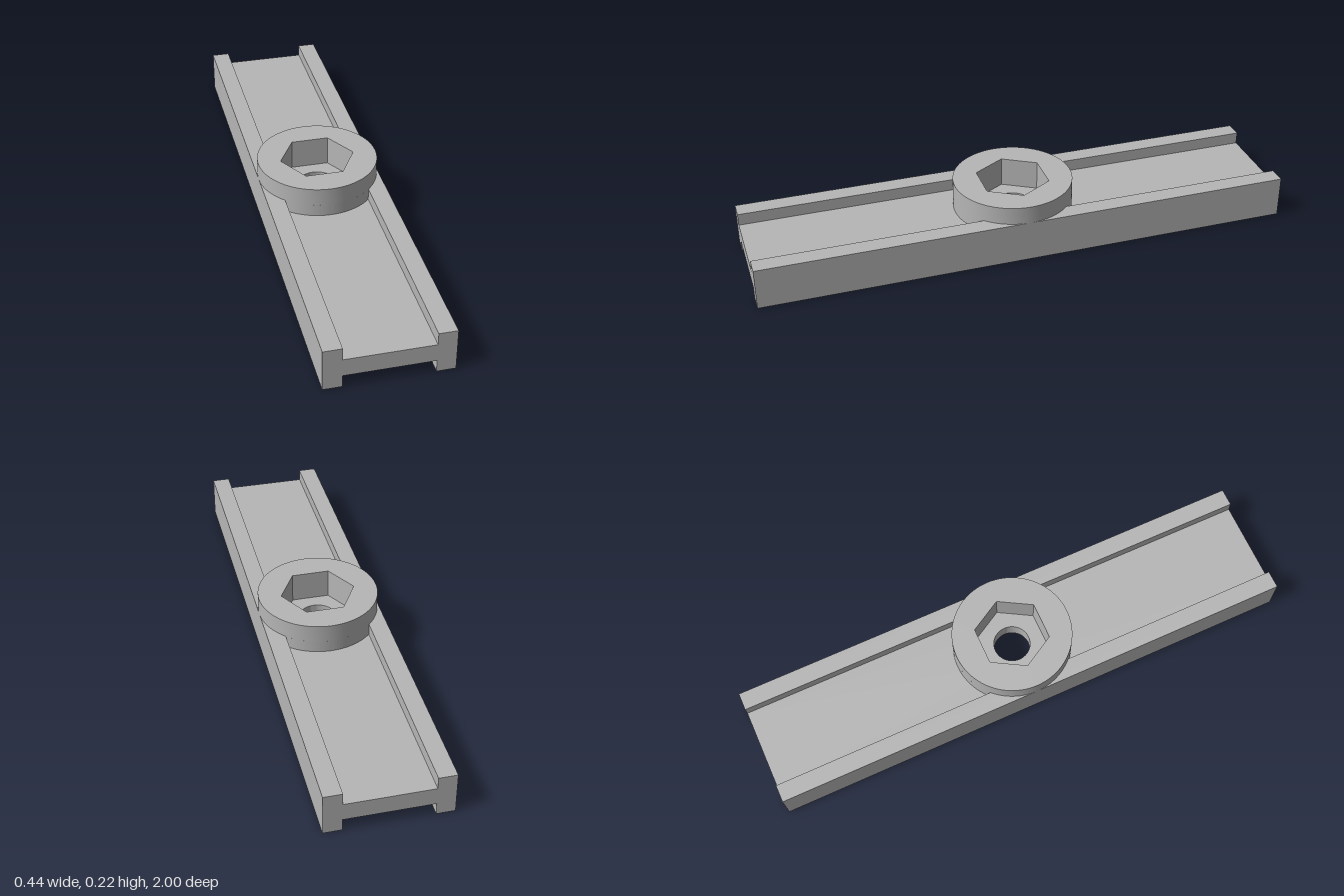
import * as THREE from 'three';
import { toCreasedNormals } from 'three/addons/utils/BufferGeometryUtils.js';

const HALF_WIDTH = 0.222;   // also the boss radius
const WEB_HALF = 0.156;     // inner face of the side rails
const WEB_BOTTOM = 0.045, WEB_TOP = 0.111, RAIL_TOP = 0.156, BOSS_TOP = 0.223;
const BORE = 0.068, RECESS = 0.145, HEX = 0.138;

const grey = new THREE.MeshStandardMaterial({ color: 0xb6b6b6 });
grey.name = 'plain grey';

const circle = (r) => new THREE.Path().absarc(0, 0, r, 0, Math.PI * 2, true);

const hexagon = () => new THREE.Path(Array.from({ length: 6 }, (_, i) => {
  const a = -i * Math.PI / 3;
  return new THREE.Vector2(HEX * Math.cos(a), HEX * Math.sin(a));
}));

const rectangle = (x0, x1) => new THREE.Shape([
  new THREE.Vector2(x0, -1), new THREE.Vector2(x1, -1),
  new THREE.Vector2(x1, 1), new THREE.Vector2(x0, 1),
]);

const disc = () => new THREE.Shape().absarc(0, 0, HALF_WIDTH, 0, Math.PI * 2, false);

// Disc trimmed flat on both sides, to fit between the rails
const trimmedDisc = () => {
  const a = Math.acos(WEB_HALF / HALF_WIDTH);
  return new THREE.Shape()
    .absarc(0, 0, HALF_WIDTH, a, Math.PI - a, false)
    .absarc(0, 0, HALF_WIDTH, Math.PI + a, Math.PI * 2 - a, false)
    .closePath();
};

// Raises a plan outline, with an optional opening, from y0 to y1
function layer(name, shape, hole, y0, y1) {
  if (hole) shape.holes.push(hole);
  const geometry = new THREE.ExtrudeGeometry(shape, {
    depth: y1 - y0, bevelEnabled: false, curveSegments: 48,
  });
  geometry.rotateX(-Math.PI / 2).translate(0, y0, 0);
  const mesh = new THREE.Mesh(toCreasedNormals(geometry, Math.PI / 6), grey);
  mesh.name = name;
  return mesh;
}

export function createModel() {
  const model = new THREE.Group();
  model.name = 'slidingBar';

  // Bar: two rails joined by a thin web with the bolt hole
  model.add(
    layer('leftRail', rectangle(WEB_HALF, HALF_WIDTH), null, 0, RAIL_TOP),
    layer('rightRail', rectangle(-HALF_WIDTH, -WEB_HALF), null, 0, RAIL_TOP),
    layer('web', rectangle(-WEB_HALF, WEB_HALF), circle(BORE), WEB_BOTTOM, WEB_TOP),
  );

  // Boss: round recess underneath, hexagonal socket on top
  const boss = new THREE.Group();
  boss.name = 'boss';
  boss.add(
    layer('lowerBoss', trimmedDisc(), circle(RECESS), 0, WEB_BOTTOM),
    layer('middleBoss', trimmedDisc(), hexagon(), WEB_TOP, RAIL_TOP),
    layer('upperBoss', disc(), hexagon(), RAIL_TOP, BOSS_TOP),
  );
  model.add(boss);
  return model;
}
